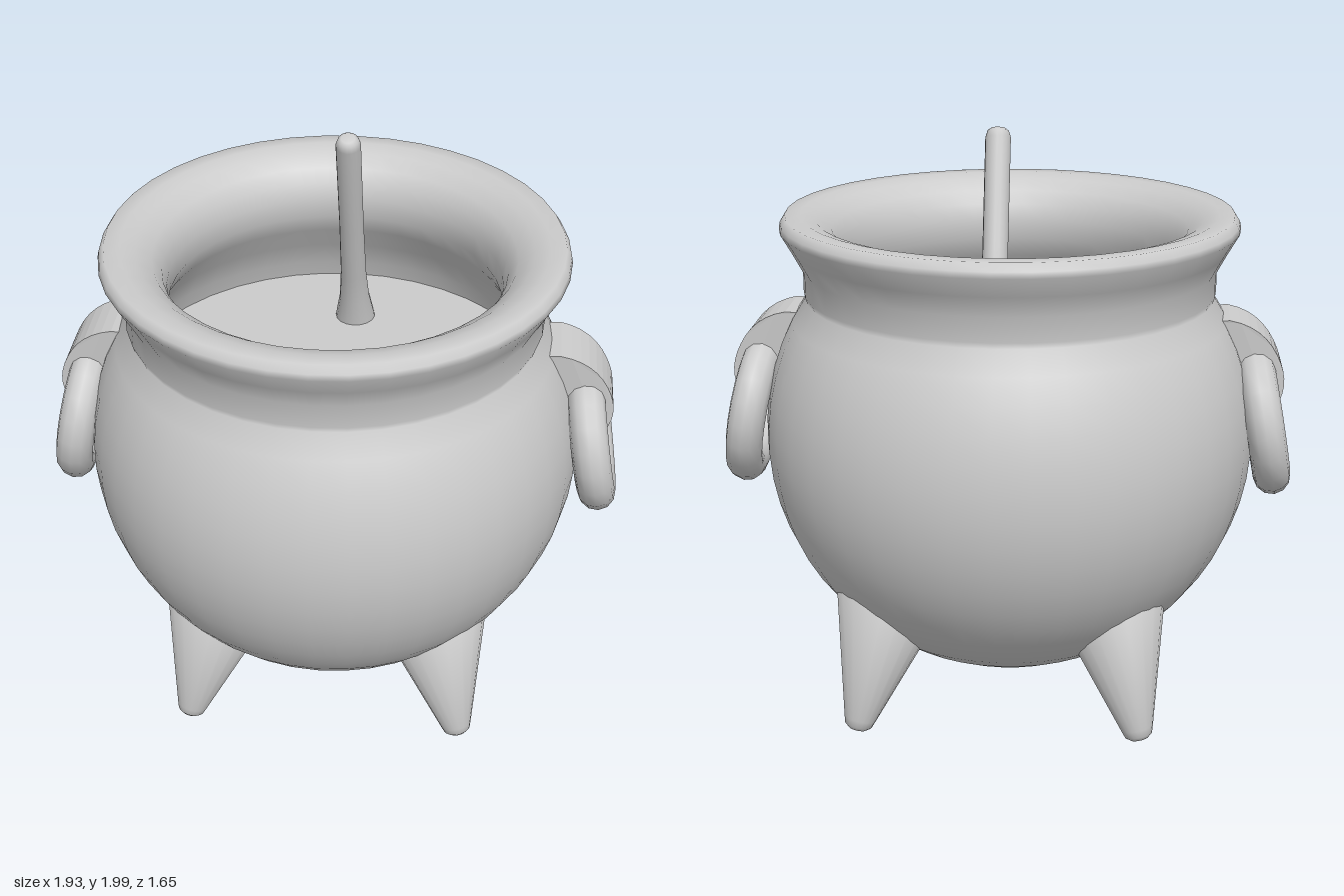
import * as THREE from 'three';

const grey = new THREE.MeshStandardMaterial({ color: 0xcccccc });
const v2 = (list) => list.map(([x, y]) => new THREE.Vector2(x, y));

function add(parent, name, geometry) {
  const mesh = new THREE.Mesh(geometry, grey);
  mesh.name = name;
  parent.add(mesh);
  return mesh;
}

// Round belly, straight neck, flared rim and inner wall in one profile
function potGeometry() {
  const R = 0.828, cy = 0.95, pts = [];
  const end = Math.asin(0.47 / R);
  for (let i = 0; i <= 20; i++) {
    const a = -Math.PI / 2 + (end + Math.PI / 2) * (i / 20);
    pts.push([Math.max(0.0001, R * Math.cos(a)), cy + R * Math.sin(a)]);
  }
  pts.push(
    [0.688, 1.44], [0.688, 1.52], [0.725, 1.59], [0.762, 1.655], [0.758, 1.675], [0.742, 1.7],
    [0.69, 1.7], [0.64, 1.685], [0.59, 1.65], [0.56, 1.605], [0.547, 1.55], [0.547, 1.48],
    [0.58, 1.41], [0.65, 1.31], [0.7, 1.21], [0.73, 1.1]
  );
  return new THREE.LatheGeometry(v2(pts), 40);
}

// Strap that holds a ring, extruded across z and slightly waisted
function bracketGeometry() {
  const s = new THREE.Shape();
  s.moveTo(0.64, 1.36);
  s.lineTo(0.74, 1.365);
  s.quadraticCurveTo(0.85, 1.345, 0.9, 1.245);
  s.quadraticCurveTo(0.945, 1.16, 0.915, 1.09);
  s.lineTo(0.89, 1.07);
  s.lineTo(0.7, 1.08);
  s.closePath();
  const g = new THREE.ExtrudeGeometry(s, { depth: 0.2, bevelEnabled: false, curveSegments: 6 });
  g.translate(0, 0, -0.1);
  const p = g.attributes.position;
  for (let i = 0; i < p.count; i++) {
    const t = THREE.MathUtils.clamp((p.getY(i) - 1.13) / 0.235, 0, 1);
    p.setZ(i, p.getZ(i) * (0.88 + 0.18 * t * t));
  }
  g.computeVertexNormals();
  return g;
}

export function createModel() {
  const model = new THREE.Group();
  model.name = 'cauldron';

  const pot = add(model, 'pot', potGeometry());
  pot.position.x = -0.006;

  // Surface of the brew
  const brew = add(model, 'brew', new THREE.CircleGeometry(0.72, 40));
  brew.rotation.x = -Math.PI / 2;
  brew.position.set(-0.006, 1.15, 0);

  // Four tapered feet leaning in toward the belly
  const legGeo = new THREE.LatheGeometry(
    v2([[0.0001, 0], [0.03, 0.003], [0.046, 0.016], [0.054, 0.04], [0.185, 0.47], [0.0001, 0.5]]), 20);
  const up = new THREE.Vector3(0, 1, 0);
  for (const sx of [-1, 1]) {
    for (const sz of [-1, 1]) {
      const leg = add(model, 'leg', legGeo);
      leg.position.set(sx * 0.475, 0.014, sz * 0.475);
      leg.quaternion.setFromUnitVectors(up, new THREE.Vector3(-sx * 0.24, 1, -sz * 0.24).normalize());
    }
  }

  // Ring handles with their brackets, one per side
  const bracketGeo = bracketGeometry();
  const ringGeo = new THREE.TorusGeometry(0.207, 0.063, 12, 20);
  for (const side of [1, -1]) {
    const handle = new THREE.Group();
    handle.name = side > 0 ? 'leftHandle' : 'rightHandle';
    handle.rotation.y = side > 0 ? 0 : Math.PI;
    add(handle, 'bracket', bracketGeo);
    const ring = add(handle, 'ring', ringGeo);
    ring.rotation.set(0, Math.PI / 2, 0.18, 'ZYX');
    ring.position.set(0.867, 1.005, 0);
    model.add(handle);
  }

  // Stirring stick, flaring where it meets the brew
  const stick = add(model, 'stirringStick', new THREE.LatheGeometry(v2([
    [0.0001, -1.0], [0.06, -0.99], [0.075, -0.94], [0.066, -0.87], [0.052, -0.78], [0.044, -0.65],
    [0.041, -0.4], [0.041, -0.03], [0.034, -0.008], [0.022, 0], [0.0001, 0]
  ]), 16));
  stick.position.set(0.022, 1.992, -0.125);
  stick.rotation.x = 0.345;

  return model;
}
